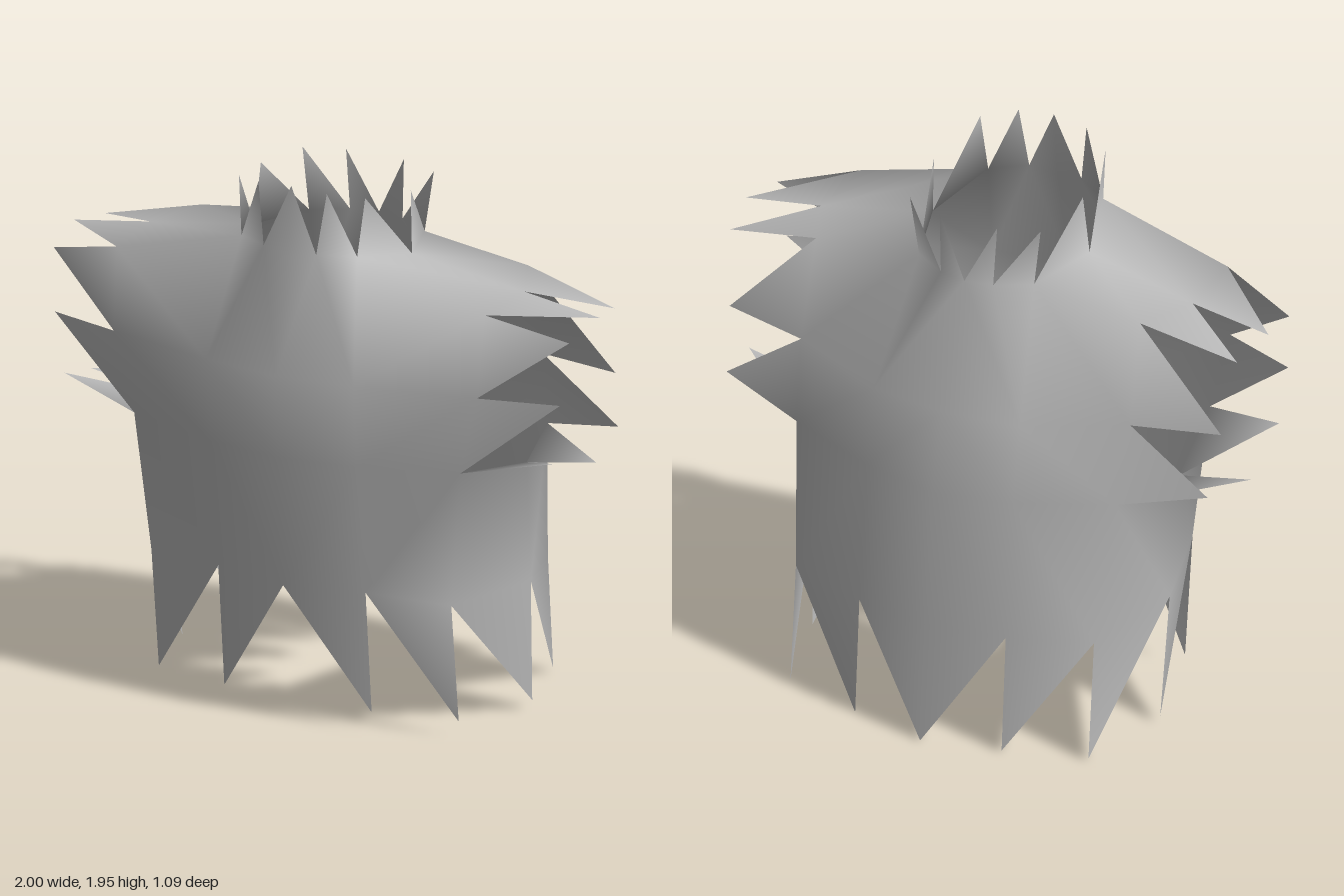
import * as THREE from 'three';

// Half of the garment (+x side). Each row runs front centre -> side -> back centre.
const hem = [[0, .52, .49], [.28, .52, .425], [.57, .5, .355], [.68, .48, -.02], [.57, .44, -.36], [.28, .43, -.45], [0, .43, -.5]];
const hemTips = [null, [.28, .07, .38], [.57, .06, .3], [.665, .03, -.06], [.57, .01, -.4], [.28, .005, -.48], [0, 0, -.54]];
const waist = [[0, 1, .54], [.28, 1, .495], [.62, 1, .385], [.69, .93, .03], [.61, .95, -.28], [.28, .93, -.4], [0, .92, -.455]];
const chest = [[0, 1.3, .55], [.28, 1.3, .515], [.69, 1.29, .4], null, [.63, 1.23, -.21], [.28, 1.2, -.345], [0, 1.2, -.38]];
const neck = [[0, 1.7, .455], [.1, 1.72, .44], [.22, 1.71, .37], [.3, 1.65, .12], [.22, 1.63, -.13], [.1, 1.63, -.2], [0, 1.63, -.22]];
const neckTips = [[0, 1.95, .43], [.13, 1.94, .42], [.24, 1.92, .35], [.285, 1.87, .1], [.25, 1.85, -.14], [.11, 1.85, -.19]];
const shoulder = [[.7, 1.58, .36], [.71, 1.575, .09], [.62, 1.58, -.12]]; // front, top, back
// Sleeve fringe tips, going down the front, under the arm and up the back
const sleeveTips = [[.98, 1.5, .28], [.96, 1.28, .31], [.93, 1.06, .3], [.96, .98, .04],
  [.92, 1.02, -.2], [.94, 1.24, -.14], [.97, 1.5, -.08], [1, 1.53, .09]];

export function createModel() {
  const group = new THREE.Group();
  group.name = 'raggedTunic';
  const fur = new THREE.MeshStandardMaterial({ color: 0xb8b8b8, side: THREE.DoubleSide });
  fur.name = 'grey fur';

  // Shared vertex list, so that shading runs smoothly from one part to the next
  const positions = [], lookup = new Map();
  const vertex = (p, side) => {
    const q = [p[0] * side || 0, p[1], p[2]], key = q.join();
    if (!lookup.has(key)) {
      lookup.set(key, positions.length / 3);
      positions.push(...q);
    }
    return lookup.get(key);
  };
  const parts = { body: [], shoulders: [], hemFringe: [], leftSleeveFringe: [], rightSleeveFringe: [], collarFringe: [] };

  for (const side of [1, -1]) {
    const tri = (part, a, b, c) => {
      const [i, j, k] = [a, b, c].map(p => vertex(p, side));
      parts[part].push(...(side > 0 ? [i, j, k] : [i, k, j]));
    };
    const quad = (part, a, b, c, d) => { tri(part, a, b, c); tri(part, a, c, d); };

    // Skirt of the tunic and its ragged hem
    for (let i = 0; i < 6; i++) {
      quad('body', hem[i], hem[i + 1], waist[i + 1], waist[i]);
      tri('hemFringe', hem[i], hemTips[i + 1], hem[i + 1]);
    }
    // Chest and back, leaving the armhole open
    for (const i of [0, 1, 4, 5]) quad('body', waist[i], waist[i + 1], chest[i + 1], chest[i]);
    quad('body', chest[0], chest[1], neck[1], neck[0]);
    tri('body', chest[1], neck[2], neck[1]);
    quad('body', chest[1], chest[2], shoulder[0], neck[2]);
    quad('body', chest[4], chest[5], neck[4], shoulder[2]);
    tri('body', chest[5], neck[5], neck[4]);
    quad('body', chest[5], chest[6], neck[6], neck[5]);
    // Shoulder tops
    quad('shoulders', neck[2], shoulder[0], shoulder[1], neck[3]);
    quad('shoulders', neck[3], shoulder[1], shoulder[2], neck[4]);
    // Collar spikes
    neckTips.forEach((tip, i) => tri('collarFringe', neck[i], neck[i + 1], tip));
    // Sleeve spikes around the armhole
    const armhole = [shoulder[0], chest[2], waist[2], waist[3], waist[4], chest[4], shoulder[2], shoulder[1]];
    const sleeve = side > 0 ? 'leftSleeveFringe' : 'rightSleeveFringe';
    sleeveTips.forEach((tip, i) => tri(sleeve, armhole[i], armhole[(i + 1) % 8], tip));
  }

  // Smooth normals over the whole surface, then one mesh per part
  const whole = new THREE.BufferGeometry();
  whole.setAttribute('position', new THREE.Float32BufferAttribute(positions, 3));
  whole.setIndex(Object.values(parts).flat());
  whole.computeVertexNormals();
  for (const [name, index] of Object.entries(parts)) {
    const geometry = new THREE.BufferGeometry();
    geometry.setAttribute('position', whole.getAttribute('position').clone());
    geometry.setAttribute('normal', whole.getAttribute('normal').clone());
    geometry.setIndex(index);
    const mesh = new THREE.Mesh(geometry, fur);
    mesh.name = name;
    group.add(mesh);
  }
  return group;
}
